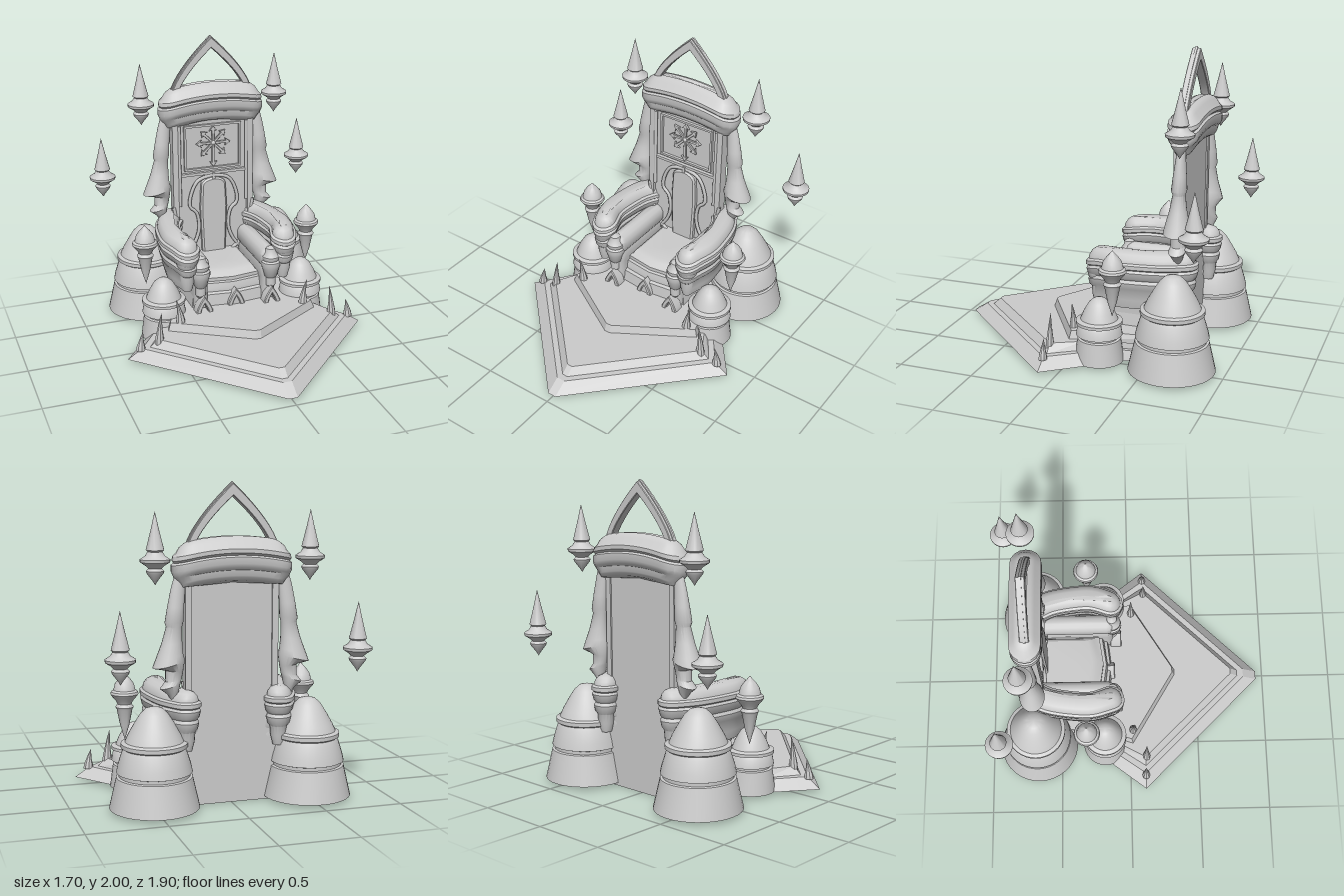
import * as THREE from 'three';
import { toCreasedNormals } from 'three/addons/utils/BufferGeometryUtils.js';

const mat = new THREE.MeshStandardMaterial({ color: 0xcccccc, side: THREE.DoubleSide });

function add(parent, name, geo, x = 0, y = 0, z = 0) {
  const m = new THREE.Mesh(geo, mat);
  m.name = name;
  m.position.set(x, y, z);
  parent.add(m);
  return m;
}

// Skin through closed rows of [x, y, z], listed from bottom to top, closed above
function loft(rows, crease = 0.6, capBottom = false) {
  const n = rows[0].length, pos = rows.flat(2), idx = [];
  for (let j = 0; j < rows.length - 1; j++)
    for (let i = 0; i < n; i++) {
      const a = j * n + i, b = j * n + (i + 1) % n;
      idx.push(a, a + n, b, b, a + n, b + n);
    }
  const cap = (j, up) => {
    const c = pos.length / 3;
    for (let k = 0; k < 3; k++) pos.push(rows[j].reduce((s, p) => s + p[k], 0) / n);
    for (let i = 0; i < n; i++) {
      const a = j * n + i, b = j * n + (i + 1) % n;
      up ? idx.push(c, b, a) : idx.push(c, a, b);
    }
  };
  cap(rows.length - 1, true);
  if (capBottom) cap(0, false);
  const g = new THREE.BufferGeometry();
  g.setAttribute('position', new THREE.Float32BufferAttribute(pos, 3));
  g.setIndex(idx);
  return toCreasedNormals(g, crease);
}

const lathe = (pts, seg = 32) =>
  toCreasedNormals(new THREE.LatheGeometry(pts.map(p => new THREE.Vector2(...p)), seg), 0.6);

// Round-ended outline at distance w around a flat path of [x, z]
function ribbon(path, w, yAt) {
  const side = [[], [], [], []], last = path.length - 1;
  path.forEach((p, i) => {
    const a = path[Math.max(i - 1, 0)], b = path[Math.min(i + 1, last)];
    const l = Math.hypot(b[0] - a[0], b[1] - a[1]), t = [(b[0] - a[0]) / l, (b[1] - a[1]) / l];
    const put = (s, u, v) => {
      const x = p[0] + (t[1] * u + t[0] * v) * w, z = p[1] + (-t[0] * u + t[1] * v) * w;
      s.push([x, yAt(x, z), z]);
    };
    put(side[0], 1, 0);
    put(side[2], -1, 0);
    if (i === 0 || i === last)
      for (let k = 1; k < 8; k++) {
        const q = k * Math.PI / 8, s = i ? 1 : -1;
        put(side[i ? 1 : 3], s * Math.cos(q), s * Math.sin(q));
      }
  });
  return [...side[0], ...side[1], ...side[2].reverse(), ...side[3]];
}

// Mirrored level outline from its right half, given front to back
const level = (half, y) => [...half.slice().reverse().map(([x, z]) => [x, y, z]),
  ...half.map(([x, z]) => [-x, y, z])];

function extrude(pts, depth, bevel = 0.006) {
  const shape = new THREE.Shape(pts.map(p => new THREE.Vector2(...p)));
  return toCreasedNormals(new THREE.ExtrudeGeometry(shape, {
    depth, bevelEnabled: bevel > 0, bevelSize: bevel, bevelThickness: bevel, bevelSegments: 1 }), 0.5);
}

const tube = (pts, r, sides = 6) => new THREE.TubeGeometry(
  new THREE.CatmullRomCurve3(pts.map(p => new THREE.Vector3(...p))), 28, r, sides);

// Band in the form of a pointed arch
function pointedArch(hw, y0, y1, t) {
  const arc = (w, top) => Array.from({ length: 10 }, (_, i) => {
    const s = i / 9;
    return [w * (1 - s ** 1.45), y0 + (top - y0) * s];
  });
  const o = arc(hw, y1), n = arc(hw - t, y1 - t * 1.6);
  const flip = a => a.slice(0, -1).reverse().map(([x, y]) => [-x, y]);
  return [...o, ...flip(o), ...flip(n).reverse(), ...n.slice().reverse()];
}

// Tapering bent spike
function horn(parent, x, y, z, h, lean) {
  const rows = [[0, 1], [0.2, 0.9], [0.45, 0.6], [0.75, 0.3], [1, 0.02]].map(([t, r]) =>
    Array.from({ length: 8 }, (_, i) => {
      const a = i * Math.PI / 4;
      return [Math.cos(a) * r * 0.033 + lean * t * t, h * t, Math.sin(a) * r * 0.028];
    }));
  add(parent, 'hornSpike', loft(rows), x, y, z);
}

function buildSide() {
  const s = new THREE.Group();
  s.name = 'sideParts';

  // Domed towers
  add(s, 'largeTower', lathe([[0.28, 0.02], [0.235, 0.215], [0.22, 0.22], [0.22, 0.24], [0.235, 0.245],
    [0.225, 0.29], [0.2, 0.37], [0.19, 0.39], [0.205, 0.4], [0.205, 0.425], [0.18, 0.435], [0.16, 0.48],
    [0.12, 0.55], [0.085, 0.605], [0.05, 0.638], [0, 0.65]], 36), 0.5, 0, -0.665);
  add(s, 'smallTower', lathe([[0.16, 0.02], [0.14, 0.17], [0.125, 0.175], [0.125, 0.19], [0.15, 0.195],
    [0.14, 0.25], [0.13, 0.265], [0.15, 0.27], [0.15, 0.29], [0.12, 0.3], [0.1, 0.35],
    [0.065, 0.41], [0.035, 0.435], [0, 0.445]]), 0.51, 0, -0.18);

  // Floating spires and hanging finial
  const spire = [[0, 0], [0.015, 0.025], [0.05, 0.07], [0.055, 0.085], [0.04, 0.1], [0.055, 0.115],
    [0.09, 0.138], [0.092, 0.155], [0.06, 0.175], [0.045, 0.2], [0.055, 0.21], [0.025, 0.33], [0, 0.44]];
  add(s, 'upperSpire', lathe(spire, 24), 0.495, 1.39, -0.69);
  add(s, 'lowerSpire', lathe(spire, 24), 0.75, 0.83, -0.86);
  add(s, 'hangingFinial', lathe([[0, 0], [0.03, 0.1], [0.05, 0.2], [0.058, 0.215], [0.045, 0.235], [0.055, 0.255],
    [0.08, 0.285], [0.09, 0.3], [0.085, 0.315], [0.07, 0.325], [0.06, 0.365], [0.035, 0.4], [0.02, 0.415],
    [0, 0.44]], 24), 0.6, 0.36, -0.3);

  // Armrest built of stacked rolls along a bowed path
  const curve = new THREE.SplineCurve([[0.3, -0.68], [0.36, -0.56], [0.39, -0.4], [0.395, -0.26], [0.355, -0.13]]
    .map(p => new THREE.Vector2(...p))).getPoints(16).map(p => [p.x, p.y]);
  const arm = [[0.36, 0.035], [0.42, 0.05], [0.48, 0.055], [0.5, 0.07], [0.54, 0.078], [0.56, 0.068], [0.575, 0.08],
    [0.615, 0.09], [0.63, 0.08], [0.64, 0.092], [0.665, 0.092], [0.675, 0.075], [0.7, 0.07], [0.725, 0.05], [0.738, 0.02]];
  add(s, 'armrest', loft(arm.map(([y, w]) => ribbon(curve, w, (x, z) => y - 0.6 * Math.max(0, z + 0.2) ** 2 * 2)), 0.6, true));
  add(s, 'innerArm', loft([[0.2, 0.05], [0.36, 0.05], [0.42, 0.06], [0.45, 0.052], [0.47, 0.062], [0.53, 0.062],
    [0.56, 0.045], [0.575, 0.02]].map(([y, w]) => ribbon([[0.25, -0.6], [0.25, -0.4], [0.25, -0.16]], w, () => y))));
  add(s, 'armBaluster', lathe([[0.02, 0.28], [0.035, 0.3], [0.035, 0.36], [0.045, 0.37], [0.06, 0.43], [0.068, 0.45],
    [0.068, 0.48], [0.055, 0.49], [0.062, 0.505], [0.062, 0.52], [0.04, 0.55], [0.035, 0.58], [0, 0.595]], 20), 0.26, 0, -0.12);
  add(s, 'armFrontPendant', lathe([[0, 0.39], [0.035, 0.43], [0.04, 0.5], [0.065, 0.53], [0.07, 0.56]], 20), 0.36, 0, -0.12);

  // Flared horn hanging beside the backrest: [centre x, y, radius x, radius z, outward droop]
  const drape = [[0.37, 0.66, 0.008, 0.01, 0], [0.38, 0.72, 0.035, 0.035, 0.1], [0.395, 0.77, 0.065, 0.055, 0.3],
    [0.375, 0.8, 0.05, 0.045, 0.1], [0.37, 0.86, 0.055, 0.05, -0.1], [0.405, 0.905, 0.1, 0.085, 0.25],
    [0.4, 0.95, 0.085, 0.075, 0.2], [0.385, 1.03, 0.065, 0.055, 0.1], [0.37, 1.13, 0.05, 0.04, 0],
    [0.37, 1.16, 0.058, 0.05, 0.1], [0.36, 1.25, 0.052, 0.042, 0], [0.345, 1.36, 0.045, 0.03, 0], [0.32, 1.5, 0.03, 0.02, 0]];
  add(s, 'sideDrape', loft(drape.map(([cx, y, rx, rz, d]) => Array.from({ length: 20 }, (_, i) => {
    const a = i * Math.PI / 10, dx = Math.cos(a) * rx;
    return [cx + dx, y - dx * d, -0.655 + Math.sin(a) * rz];
  }))));

  // Backrest post and raised trims
  add(s, 'backPost', new THREE.BoxGeometry(0.04, 0.82, 0.07), 0.28, 1.0, -0.63);
  add(s, 'postBead', new THREE.CylinderGeometry(0.012, 0.012, 0.6, 8), 0.25, 1.08, -0.6);
  add(s, 'upperPanelTrim', new THREE.BoxGeometry(0.015, 0.33, 0.02), 0.205, 1.205, -0.61);
  add(s, 'steppedTrim', tube([[0.0, 0.995, -0.6], [0.11, 0.965, -0.6], [0.16, 0.89, -0.6], [0.178, 0.77, -0.6],
    [0.13, 0.72, -0.6], [0.112, 0.6, -0.6], [0.14, 0.5, -0.6], [0.21, 0.4, -0.6]], 0.013));
  add(s, 'sweptTrim', tube([[0.3, 0.78, -0.6], [0.27, 0.62, -0.6], [0.22, 0.48, -0.6], [0.13, 0.39, -0.6]], 0.013));

  // Spikes on the dais
  horn(s, 0.76, 0.075, 0.11, 0.13, -0.02);
  horn(s, 0.63, 0.1, 0.115, 0.23, -0.02);
  horn(s, 0.45, 0.18, 0.02, 0.18, 0.03);
  add(s, 'footArch', extrude(pointedArch(0.055, 0.19, 0.3, 0.022), 0.07), 0.25, 0, -0.13);
  return s;
}

export function createModel() {
  const root = new THREE.Group();
  root.name = 'throne';

  // Stepped dais with a pointed front
  const tier = (name, a, y0, b, y1) => add(root, name, loft([level(a, y0), level(b, y1)], 0.2));
  tier('daisLower', [[0.03, 0.95], [0.85, 0.11], [0.65, -0.15], [0.5, -0.3], [0.45, -0.64]], 0.02,
    [[0.03, 0.85], [0.75, 0.11], [0.6, -0.1], [0.48, -0.28], [0.44, -0.63]], 0.085);
  tier('daisMiddle', [[0.02, 0.81], [0.7, 0.11], [0.56, -0.1], [0.45, -0.3], [0.42, -0.63]], 0.08,
    [[0.02, 0.75], [0.64, 0.11], [0.54, -0.08], [0.44, -0.3], [0.42, -0.62]], 0.135);
  tier('daisUpper', [[0.02, 0.335], [0.54, 0.02], [0.5, -0.1], [0.42, -0.62]], 0.13,
    [[0.02, 0.315], [0.52, 0.01], [0.48, -0.1], [0.42, -0.62]], 0.19);

  // Seat plinth and cushion, with a slightly pointed front
  const seat = [[0.19, 0.31, -0.16], [0.27, 0.3, -0.17], [0.28, 0.27, -0.19], [0.3, 0.25, -0.19], [0.34, 0.25, -0.2],
    [0.345, 0.235, -0.22], [0.37, 0.235, -0.22], [0.375, 0.19, -0.23], [0.4, 0.18, -0.26], [0.412, 0.16, -0.3]];
  add(root, 'seat', loft(seat.map(([y, hx, zf]) => level([[0.001, zf + 0.035], [hx, zf], [hx, -0.62]], y)), 0.5));
  add(root, 'centreFootArch', extrude(pointedArch(0.055, 0.19, 0.3, 0.022), 0.06), 0, 0, -0.17);
  add(root, 'centreFootFill', extrude([[-0.03, 0.19], [0.03, 0.19], [0, 0.26]], 0.03), 0, 0, -0.15);

  // Backrest slab, panels and ornament
  add(root, 'backrest', extrude([[-0.3, 0], [0.3, 0], [0.29, 0.5], [0.3, 0.8], [0.28, 1.0], [0.265, 1.42],
    [-0.265, 1.42], [-0.28, 1.0], [-0.3, 0.8], [-0.29, 0.5]], 0.035, 0), 0, 0, -0.655);
  add(root, 'crossRail', new THREE.BoxGeometry(0.52, 0.02, 0.03), 0, 1.01, -0.61);
  for (const y of [1.045, 1.365])
    add(root, 'upperPanelRail', new THREE.BoxGeometry(0.41, 0.015, 0.02), 0, y, -0.61);
  const pad = [[-0.075, 0.4], [0.075, 0.4], [0.088, 0.75], [0.08, 0.9]];
  for (let i = 0; i <= 8; i++) {
    const a = i * Math.PI / 8;
    pad.push([0.08 * Math.cos(a), 0.92 + 0.045 * Math.sin(a)]);
  }
  pad.push([-0.08, 0.9], [-0.088, 0.75]);
  add(root, 'backPad', extrude(pad, 0.025, 0.012), 0, 0, -0.62);
  add(root, 'padDrop', new THREE.BoxGeometry(0.02, 0.06, 0.03), 0, 0.98, -0.6);

  const ornament = new THREE.Group();
  ornament.name = 'radialOrnament';
  ornament.position.set(0, 1.235, -0.605);
  for (let i = 0; i < 8; i++) {
    const spoke = new THREE.Group(), len = i === 4 ? 0.175 : 0.125;
    spoke.rotation.z = i * Math.PI / 4;
    add(spoke, 'ornamentSpoke', extrude([[-0.006, 0], [0.006, 0], [0.008, len - 0.03], [0.026, len - 0.035], [0, len],
      [-0.026, len - 0.035], [-0.008, len - 0.03]], 0.012, 0.002));
    ornament.add(spoke);
  }
  add(ornament, 'ornamentHub', new THREE.SphereGeometry(0.018, 12, 8), 0, 0, 0.008);
  root.add(ornament);

  // Bowed lintel: [end height, half length, half depth]
  const lintel = [[1.355, 0.33, 0.05], [1.375, 0.34, 0.065], [1.385, 0.345, 0.07], [1.42, 0.37, 0.075], [1.435, 0.375, 0.09],
    [1.46, 0.385, 0.1], [1.5, 0.385, 0.1], [1.51, 0.37, 0.085], [1.525, 0.38, 0.1], [1.55, 0.375, 0.1],
    [1.565, 0.355, 0.085], [1.595, 0.335, 0.065], [1.615, 0.3, 0.045], [1.623, 0.27, 0.02]];
  add(root, 'lintel', loft(lintel.map(([y, hx, hz]) => {
    const path = Array.from({ length: 17 }, (_, i) => [(i / 8 - 1) * (hx - hz), -0.65]);
    return ribbon(path, hz, x => y + 0.05 * (1 - (x / 0.385) ** 2));
  }), 0.6, true));

  // Pointed crest with a slim outer rib
  add(root, 'crestArch', extrude(pointedArch(0.29, 1.6, 1.985, 0.04), 0.05, 0.004), 0, 0, -0.67);
  add(root, 'crestRib', extrude(pointedArch(0.3, 1.6, 2.0, 0.02), 0.015, 0), 0, 0, -0.652);

  const left = buildSide(), right = buildSide();
  right.scale.x = -1;
  root.add(left, right);
  return root;
}
